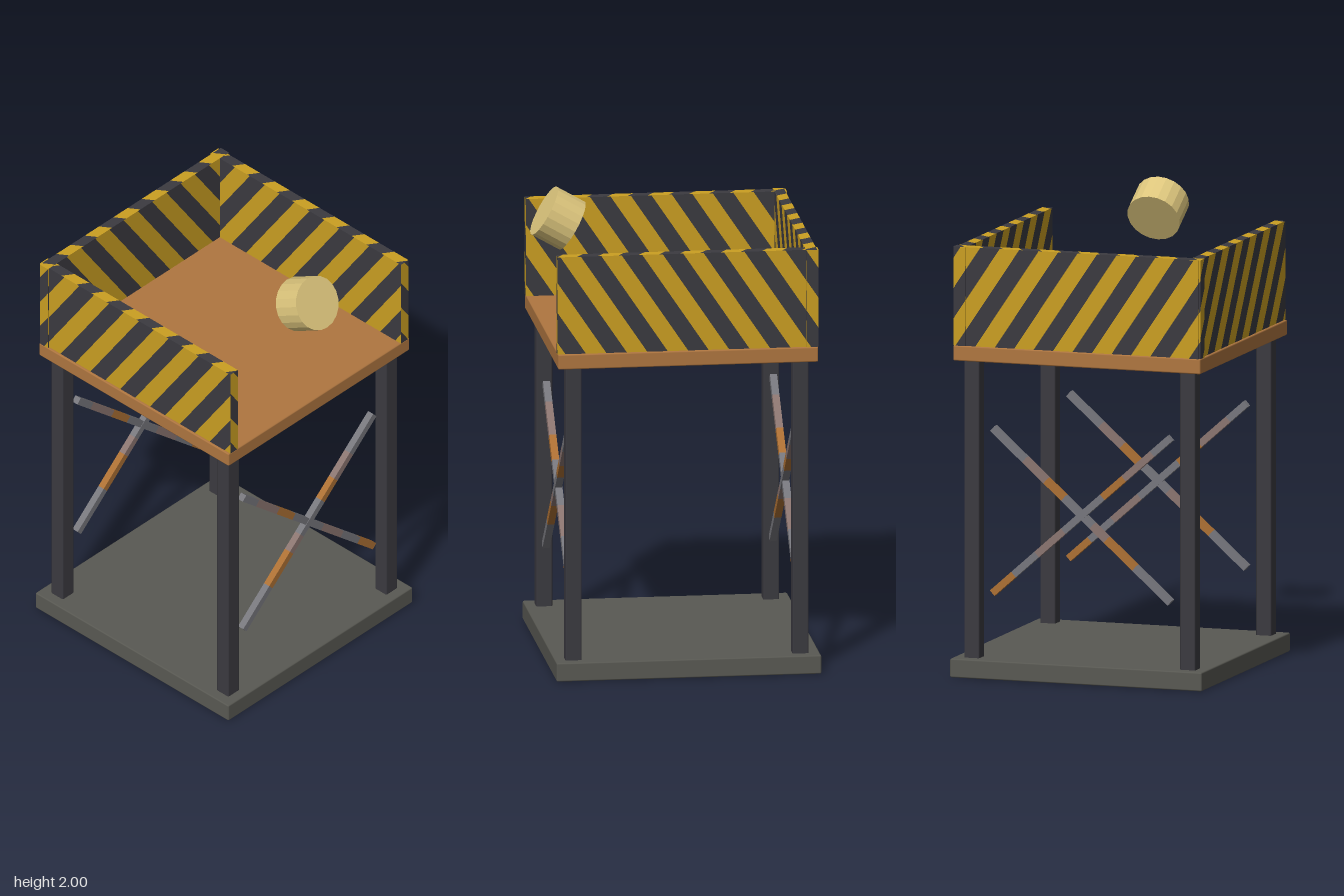
import * as THREE from 'three';
import { RoundedBoxGeometry } from 'three/addons/geometries/RoundedBoxGeometry.js';

const PERIOD = 0.173; // one yellow and one dark stripe
const SLANT = 0.67;
const MID_Z = -0.02;  // centre of the stand in z

function makeMaterials() {
  const colours = {
    concreteGrey: 0x595953, darkSteel: 0x3b3a40, rustBrown: 0xaf7640, hazardYellow: 0xcb9f22,
    lampTan: 0xdcc57c, braceGrey: 0x77777d, braceRust: 0xad7034, braceWorn: 0x8b7570,
  };
  const mats = {};
  for (const [name, color] of Object.entries(colours)) {
    mats[name] = new THREE.MeshStandardMaterial({ color });
    mats[name].name = name;
  }
  return mats;
}

// Keeps the part of a polygon where sign * (g . p) >= sign * limit
function clip(poly, g, limit, sign) {
  const out = [];
  poly.forEach((p, i) => {
    const q = poly[(i + 1) % poly.length];
    const a = sign * (g.dot(p) - limit), b = sign * (g.dot(q) - limit);
    if (a >= 0) out.push(p);
    if ((a > 0 && b < 0) || (a < 0 && b > 0)) out.push(p.clone().lerp(q, a / (a - b)));
  });
  return out;
}

// Box whose six faces are cut into diagonal yellow and dark stripes
function stripedWall(name, size, centre, darkAt, mats) {
  const soup = [[], []];
  const top = size.y / 2;
  const alongX = size.x > size.z;
  for (let axis = 0; axis < 3; axis++) {
    for (const side of [1, -1]) {
      const u = (axis + 1) % 3, v = (axis + 2) % 3;
      const half = size.toArray().map(s => s / 2);
      let quad = [[1, 1], [-1, 1], [-1, -1], [1, -1]].map(([a, b]) => {
        const p = [0, 0, 0];
        p[axis] = side * half[axis];
        p[u] = a * half[u];
        p[v] = b * half[v];
        return new THREE.Vector3(...p);
      });
      if (side < 0) quad.reverse();
      // Stripe direction and the position of one dark stripe on this face
      let g, c;
      if (axis === 1) {
        g = alongX ? new THREE.Vector3(1, 0, -SLANT) : new THREE.Vector3(SLANT, 0, -1);
        c = alongX ? darkAt.x - centre.x : -(darkAt.z - centre.z);
      } else if (axis === 2) {
        g = new THREE.Vector3(1, SLANT, 0);
        c = darkAt.x - centre.x + SLANT * top;
      } else {
        g = new THREE.Vector3(0, SLANT, -1);
        c = -(darkAt.z - centre.z) + SLANT * top;
      }
      for (let i = -24; i <= 24; i++) {
        const lo = c + (i - 0.5) * PERIOD / 2, hi = lo + PERIOD / 2;
        const poly = clip(clip(quad, g, lo, 1), g, hi, -1);
        for (let k = 1; k + 1 < poly.length; k++) {
          for (const p of [poly[0], poly[k], poly[k + 1]]) soup[Math.abs(i) % 2].push(p);
        }
      }
    }
  }
  const wall = new THREE.Group();
  wall.name = name;
  wall.position.copy(centre);
  [['darkStripes', mats.darkSteel], ['yellowStripes', mats.hazardYellow]].forEach(([label, mat], i) => {
    const geo = new THREE.BufferGeometry().setFromPoints(soup[i]);
    geo.computeVertexNormals();
    const mesh = new THREE.Mesh(geo, mat);
    mesh.name = label;
    wall.add(mesh);
  });
  return wall;
}

export function createModel() {
  const mats = makeMaterials();
  const model = new THREE.Group();
  model.name = 'hazardPlatform';

  const block = (name, w, h, d, x, y, z, mat) => {
    const mesh = new THREE.Mesh(new RoundedBoxGeometry(w, h, d, 1, 0.006), mat);
    mesh.name = name;
    mesh.position.set(x, y, z);
    model.add(mesh);
  };

  // Base slab, deck and four legs
  block('base', 1.12, 0.08, 1.12, 0, 0.04, MID_Z, mats.concreteGrey);
  block('deck', 1.1, 0.065, 1.1, 0, 1.3775, MID_Z + 0.002, mats.rustBrown);
  for (const x of [0.48, -0.48]) {
    for (const z of [0.48, -0.48]) {
      block('leg', 0.068, 1.32, 0.068, x, 0.70, z + MID_Z + 0.002, mats.darkSteel);
    }
  }

  // Striped guard walls on three sides; the front stays open
  const darkAt = new THREE.Vector3(-0.305, 0, -0.3);
  const wallY = 1.62;
  model.add(stripedWall('backWall', new THREE.Vector3(1.1, 0.42, 0.046),
    new THREE.Vector3(0, wallY, -0.54), darkAt, mats));
  for (const [name, s] of [['leftWall', 1], ['rightWall', -1]]) {
    model.add(stripedWall(name, new THREE.Vector3(0.046, 0.419, 1.103),
      new THREE.Vector3(s * 0.518, wallY - 0.0005, MID_Z + 0.002), darkAt, mats));
  }

  // Rusty cross braces between the front legs and the back legs: [start, end, material]
  const { braceGrey, braceRust, braceWorn } = mats;
  const rising = [[0, 0.2, braceGrey], [0.2, 0.36, braceRust], [0.36, 0.44, braceWorn], [0.44, 0.6, braceGrey],
    [0.6, 0.7, braceRust], [0.7, 0.82, braceWorn], [0.82, 1, braceGrey]];
  const falling = [[0, 0.1, braceGrey], [0.1, 0.26, braceWorn], [0.26, 0.38, braceRust], [0.38, 0.6, braceGrey],
    [0.6, 0.75, braceWorn], [0.75, 0.88, braceGrey], [0.88, 1, braceRust]];
  const length = 1.055, angle = Math.atan2(0.7, 0.79);
  for (const z of [0.462, -0.498]) {
    for (const [pieces, s] of [[rising, 1], [falling, -1]]) {
      const brace = new THREE.Group();
      brace.name = z > 0 ? 'frontBrace' : 'backBrace';
      brace.position.set(0, 0.707, z + s * 0.001);
      brace.rotation.z = s * angle;
      for (const [a, b, mat] of pieces) {
        const piece = new THREE.Mesh(new THREE.BoxGeometry((b - a) * length, 0.03, 0.03), mat);
        piece.name = 'bracePiece';
        piece.position.x = ((a + b) / 2 - 0.5) * length;
        brace.add(piece);
      }
      model.add(brace);
    }
  }

  // Tilted lamp drum above the open front edge
  const drum = new THREE.CylinderGeometry(0.115, 0.115, 0.135, 20).toNonIndexed();
  drum.computeVertexNormals();
  const lamp = new THREE.Mesh(drum, mats.lampTan);
  lamp.name = 'lamp';
  lamp.position.set(0, 1.8655, 0.4625);
  lamp.rotation.x = Math.PI / 3;
  model.add(lamp);

  return model;
}
